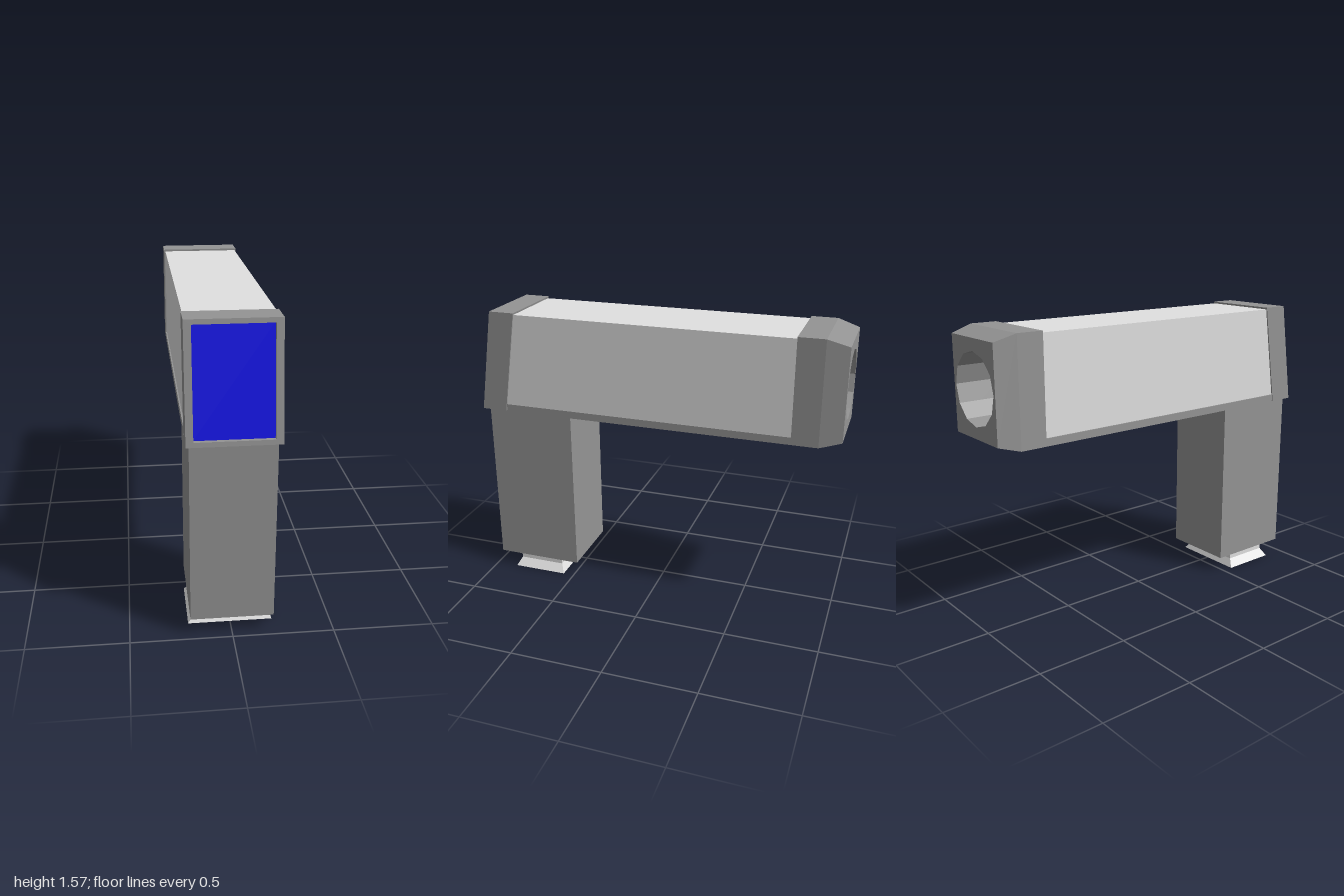
import * as THREE from 'three';

const BOTTOM = 1.01, TOP = 1.57, HALF = 0.22, MID = 1.288;
const SLANT = 0.152; // backward lean of the front face per unit of height

export function createModel() {
  const group = new THREE.Group();
  const material = (name, color) => {
    const m = new THREE.MeshStandardMaterial({ color });
    m.name = name;
    return m;
  };
  const grey = material('casing grey', 0x949494);
  const light = material('panel light grey', 0xe0e0e0);
  const blue = material('screen blue', 0x0e0eec);
  const black = material('lens black', 0x0a0a0a);

  const add = (name, geometry, mat) => {
    const mesh = new THREE.Mesh(geometry, mat);
    mesh.name = name;
    group.add(mesh);
  };
  const box = (x, y0, y1, z0, z1) =>
    new THREE.BoxGeometry(2 * x, y1 - y0, z1 - z0).translate(0, (y0 + y1) / 2, (z0 + z1) / 2);
  const rect = (Type, x, y0, y1) =>
    new Type([[-x, y0], [x, y0], [x, y1], [-x, y1]].map(p => new THREE.Vector2(...p)));
  const extrude = (shape, z0, z1) =>
    new THREE.ExtrudeGeometry(shape, { depth: z1 - z0, bevelEnabled: false }).translate(0, 0, z0);
  // Move every vertex by a rule
  const reshape = (geometry, rule) => {
    const p = geometry.attributes.position, v = new THREE.Vector3();
    for (let i = 0; i < p.count; i++) {
      rule(v.fromBufferAttribute(p, i));
      p.setXYZ(i, v.x, v.y, v.z);
    }
    geometry.computeVertexNormals();
    return geometry;
  };
  const lean = v => { v.z -= SLANT * (v.y - BOTTOM); };

  // Light body inset between the grey ends
  const profile = new THREE.Shape([[-0.8, 1.03], [0.87, 1.03], [0.79, 1.56], [-0.8, 1.56]]
    .map(p => new THREE.Vector2(...p)));
  add('bodyPanel', extrude(profile, -0.213, 0.213).rotateY(-Math.PI / 2), light);
  add('bottomRail', box(HALF, BOTTOM, 1.05, -0.75, 0.85), grey);

  // Leaning front frame with recessed screen
  const frame = rect(THREE.Shape, HALF, BOTTOM, TOP);
  frame.holes.push(rect(THREE.Path, 0.185, 1.033, 1.547));
  add('frontFrame', reshape(extrude(frame, 0.858, 1), lean), grey);
  add('screen', reshape(box(0.185, 1.033, 1.547, 0.972, 0.98), lean), blue);

  // Rear cap: straight part, then a tapered end, both bored through
  const cap = rect(THREE.Shape, HALF, BOTTOM, TOP);
  const bore = new THREE.EllipseCurve(0, MID, 0.185, 0.185).getPoints(12).slice(0, 12);
  cap.holes.push(new THREE.Path(bore));
  add('rearCap', extrude(cap, -0.885, -0.745), grey);
  add('rearTaper', reshape(extrude(cap, -1, -0.885), v => {
    if (v.z < -0.95 && Math.abs(v.x) > 0.21) {
      v.x *= 0.2 / HALF;
      v.y = v.y > MID ? 1.535 : 1.043;
    }
  }), grey);
  add('lens', new THREE.CircleGeometry(0.186, 12).rotateY(Math.PI).translate(0, MID, -0.802), black);

  // Handle and its flared foot
  add('handle', box(0.204, 0.087, BOTTOM + 0.01, 0.475, 0.965), grey);
  add('footNeck', box(0.175, 0.045, 0.09, 0.587, 0.85), light);
  add('footFlare', reshape(box(0.175, 0, 0.045, 0.587, 0.85).toNonIndexed(), v => {
    if (v.y < 0.01) {
      v.x *= 0.21 / 0.175;
      v.z += v.z > 0.7 ? 0.024 : -0.024;
    }
  }), light);

  return group;
}
